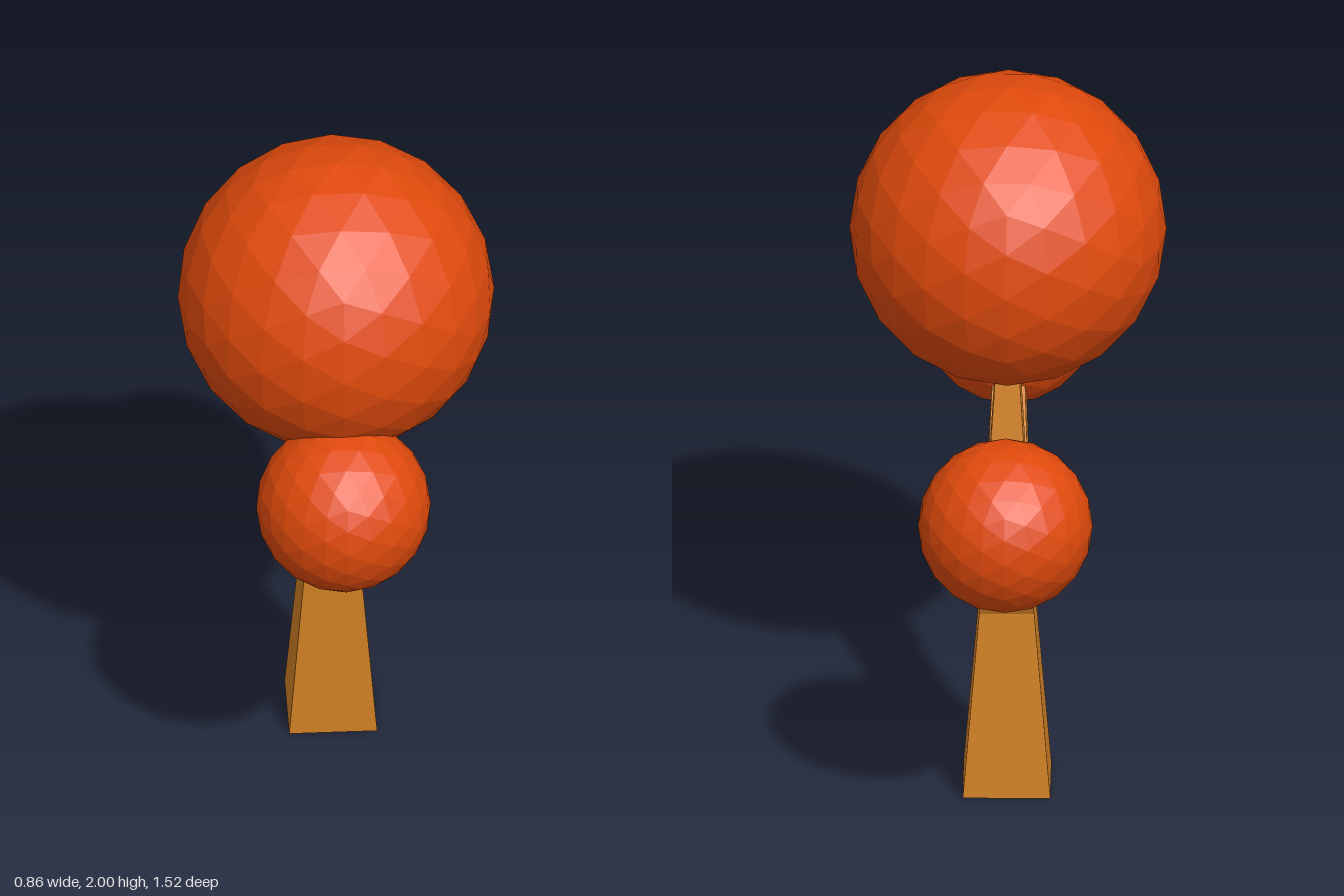
import * as THREE from 'three';

const bark = new THREE.MeshStandardMaterial({ color: 0xd08024, flatShading: true });
const leaf = new THREE.MeshStandardMaterial({ color: 0xe04a0c, flatShading: true });

// Side outline in (z, y), given thickness in x that tapers linearly with height
function taperedSlab(name, outline, halfWidth) {
  const shape = new THREE.Shape(outline.map(([z, y]) => new THREE.Vector2(z, y)));
  const geo = new THREE.ExtrudeGeometry(shape, { depth: 2, bevelEnabled: false });
  geo.translate(0, 0, -1).rotateY(-Math.PI / 2);
  const pos = geo.attributes.position;
  for (let i = 0; i < pos.count; i++) pos.setX(i, pos.getX(i) * halfWidth(pos.getY(i)));
  geo.computeVertexNormals();
  const mesh = new THREE.Mesh(geo, bark);
  mesh.name = name;
  return mesh;
}

export function createModel() {
  const tree = new THREE.Group();
  tree.name = 'tree';

  // Trunk below the fork
  tree.add(taperedSlab('trunk',
    [[-0.205, 0.01], [0.03, 0], [0.01, 0.55], [-0.155, 0.55]],
    y => 0.12 - 0.045 * y / 0.55));

  // Fork with four branches
  tree.add(taperedSlab('branches', [
    [-0.155, 0.55], [0.01, 0.55], [0.1, 0.73],
    [0.41, 0.975], [0.37, 1.04], [0.03, 0.825],                     // front branch
    [0.12, 1.14], [0.14, 1.21], [0.015, 1.21], [-0.04, 0.955], [-0.1, 0.845], // middle branch
    [-0.19, 0.905], [-0.36, 1.04], [-0.4, 0.98], [-0.3, 0.925], [-0.25, 0.86], [-0.19, 0.785], // upper back branch
    [-0.245, 0.82], [-0.44, 0.87], [-0.47, 0.835], [-0.21, 0.69],   // lower back branch
  ], y => 0.075 - 0.04 * (y - 0.55) / 0.61));

  // Ball-shaped foliage
  const balls = [
    ['topFoliage', 1.57, 0.165, 0.432],
    ['frontFoliage', 1.113, 0.523, 0.238],
    ['backFoliage', 1.012, -0.522, 0.238],
  ];
  for (const [name, y, z, radius] of balls) {
    const ball = new THREE.Mesh(new THREE.IcosahedronGeometry(radius, 3), leaf);
    ball.name = name;
    ball.position.set(0, y, z);
    tree.add(ball);
  }
  return tree;
}
